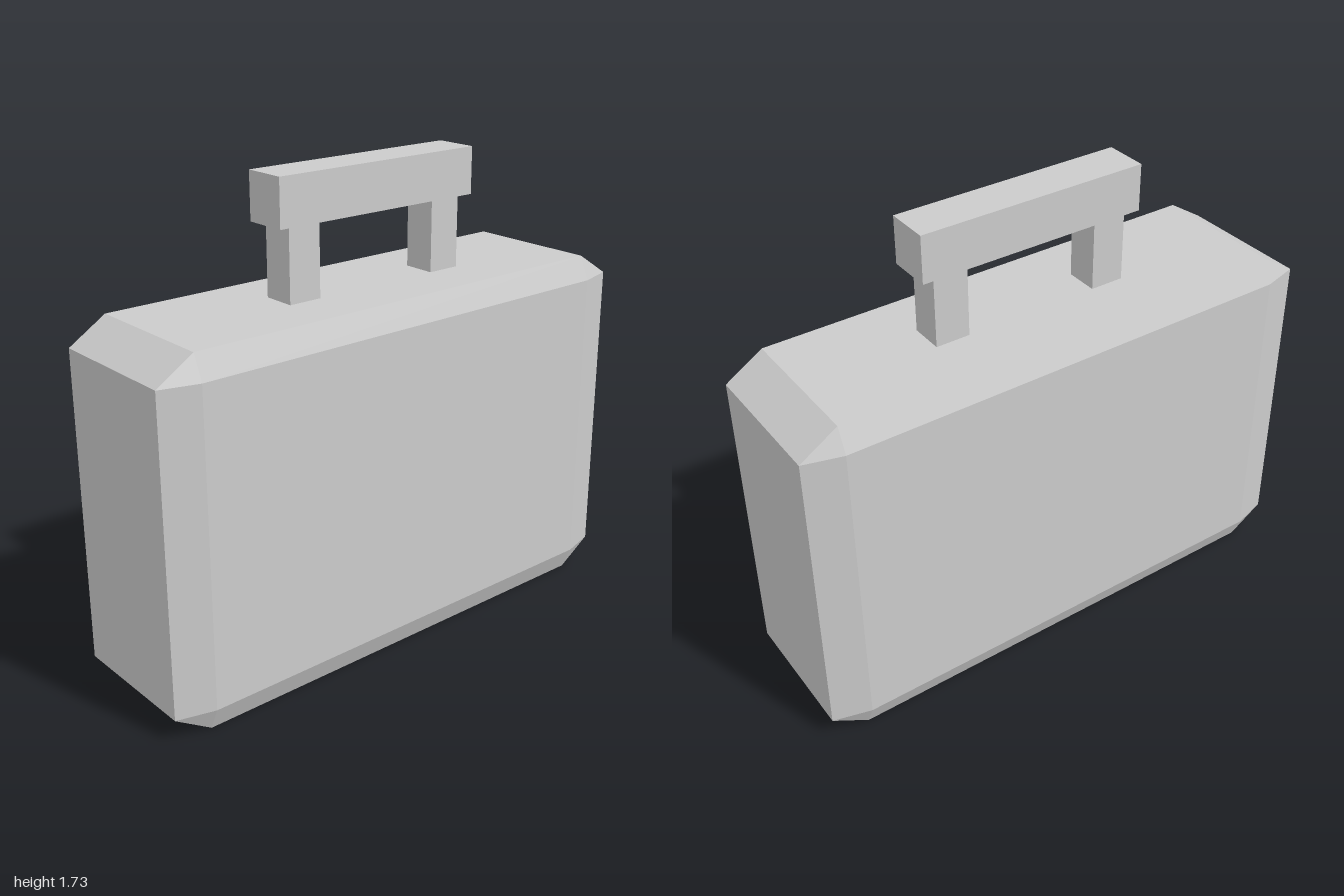
import * as THREE from 'three';
import { ConvexGeometry } from 'three/addons/geometries/ConvexGeometry.js';

const material = new THREE.MeshStandardMaterial({ color: 0xcccccc, flatShading: true });

// Box with every edge cut: each corner becomes three points, one per face
function chamferedBox(outer, inner) {
  const points = [];
  for (const sx of [-1, 1]) for (const sy of [-1, 1]) for (const sz of [-1, 1]) {
    for (let face = 0; face < 3; face++) {
      const size = inner.map((v, axis) => (axis === face ? outer[axis] : v));
      points.push(new THREE.Vector3(sx * size[0], sy * size[1], sz * size[2]));
    }
  }
  return new ConvexGeometry(points);
}

function addPart(group, name, geometry, x, y, z) {
  const mesh = new THREE.Mesh(geometry, material);
  mesh.name = name;
  mesh.position.set(x, y, z);
  group.add(mesh);
}

export function createModel() {
  const group = new THREE.Group();
  group.name = 'suitcase';

  // Case body, half sizes of the faces and of their inset borders
  addPart(group, 'caseBody', chamferedBox([0.292, 0.65, 1], [0.254, 0.563, 0.863]), 0, 0.65, 0);

  // Two posts carrying the grip
  const posts = [['frontHandlePost', 0.293], ['backHandlePost', -0.337]];
  for (const [name, z] of posts) {
    addPart(group, name, new THREE.BoxGeometry(0.123, 0.26, 0.126), -0.002, 1.43, z);
  }

  // Grip bar
  addPart(group, 'handleGrip', new THREE.BoxGeometry(0.16, 0.17, 0.852), -0.006, 1.645, -0.025);

  return group;
}
